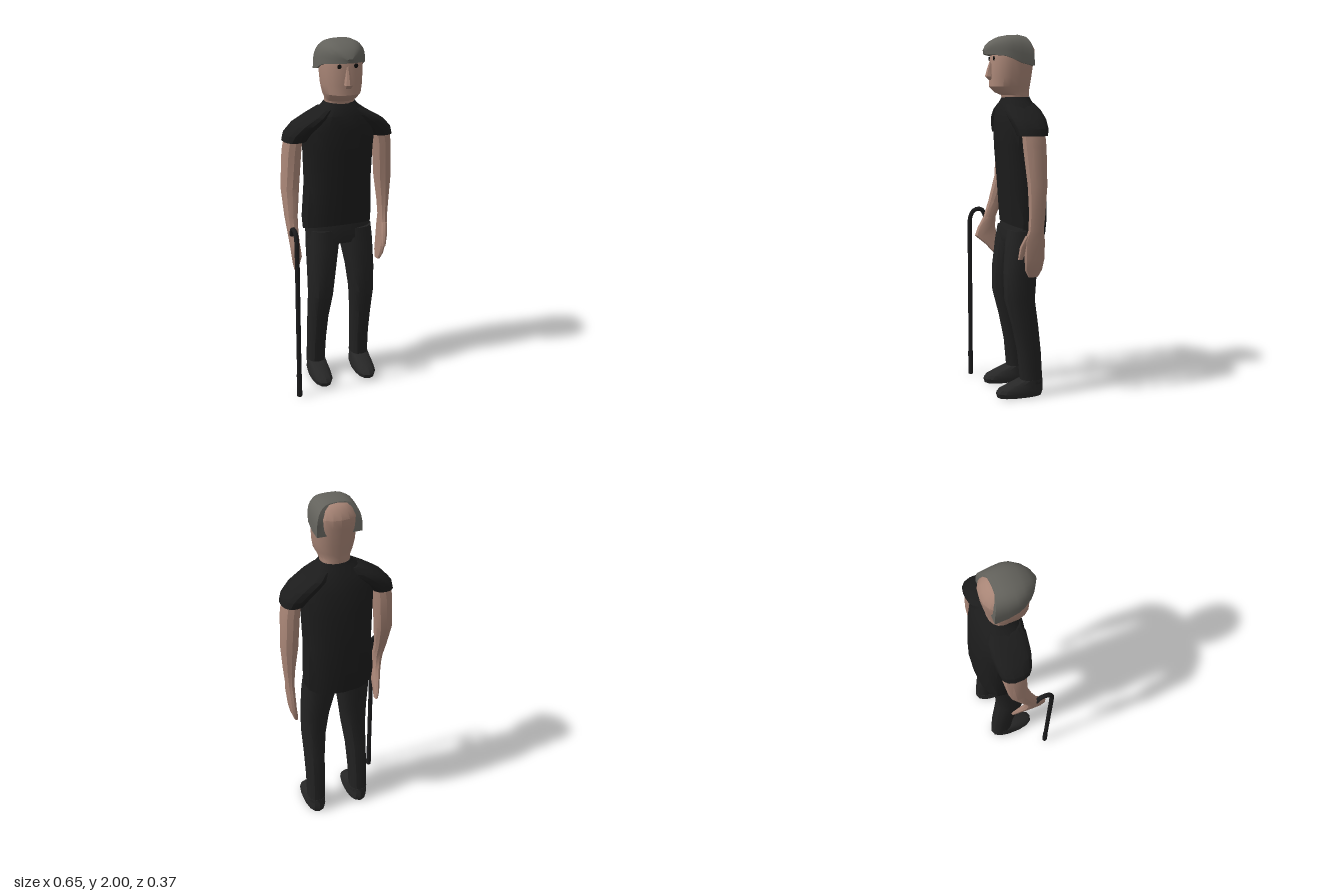
import * as THREE from 'three';
import { toCreasedNormals } from 'three/addons/utils/BufferGeometryUtils.js';

const mat = (name, color) => Object.assign(new THREE.MeshStandardMaterial({ color }), { name });

// Closed skin over a list of point loops, wound so that it faces outwards
function skinLoops(loops) {
  const n = loops[0].length, pos = [], idx = [];
  loops.forEach(l => l.forEach(p => pos.push(...p)));
  for (let i = 0; i < loops.length - 1; i++) {
    for (let j = 0; j < n; j++) {
      const a = i * n + j, b = i * n + (j + 1) % n;
      idx.push(a, a + n, b, b, a + n, b + n);
    }
  }
  [0, loops.length - 1].forEach((r, end) => {
    const c = pos.length / 3;
    pos.push(...[0, 1, 2].map(k => loops[r].reduce((s, p) => s + p[k], 0) / n));
    for (let j = 0; j < n; j++) {
      const a = r * n + j, b = r * n + (j + 1) % n;
      idx.push(...(end ? [c, a, b].reverse() : [c, a, b]));
    }
  });
  // Signed volume decides the winding
  const v = i => new THREE.Vector3().fromArray(pos, i * 3);
  let vol = 0;
  for (let i = 0; i < idx.length; i += 3) vol += v(idx[i]).dot(v(idx[i + 1]).cross(v(idx[i + 2])));
  if (vol < 0) idx.reverse();
  const g = new THREE.BufferGeometry();
  g.setAttribute('position', new THREE.Float32BufferAttribute(pos, 3));
  g.setIndex(idx);
  return toCreasedNormals(g, 0.55);
}

const sgnPow = (v, e) => Math.sign(v) * Math.pow(Math.abs(v), e);

// Horizontal cross-sections: [y, xMin, xMax, zBack, zFront, tilt]
function body(rings, n = 14, p = 2.4) {
  return skinLoops(rings.map(([y, x0, x1, z0, z1, tilt = 0]) =>
    Array.from({ length: n }, (_, j) => {
      const a = j / n * Math.PI * 2;
      const x = (x0 + x1) / 2 + sgnPow(Math.sin(a), 2 / p) * (x1 - x0) / 2;
      const dz = sgnPow(Math.cos(a), 2 / p) * (z1 - z0) / 2;
      return [x, y + dz * tilt, (z0 + z1) / 2 + dz];
    })));
}

// Swap the sides of a list of cross-sections
const mirror = rings => rings.map(([y, a, b, ...r]) => [y, -b, -a, ...r]);

export function createModel() {
  const man = new THREE.Group();
  man.name = 'standingManWithCane';
  const skin = mat('skin', 0xa88576);
  const shirt = mat('shirtBlack', 0x1c1c1c);
  const trousers = mat('trouserBlack', 0x222222);
  const shoe = mat('shoeGrey', 0x272727);
  const cap = mat('capGrey', 0x63625c);
  const caneMat = mat('caneBlack', 0x1b1b1c);
  const eyeMat = mat('eyeBlack', 0x0c0c0c);
  const add = (name, geo, m) => {
    const mesh = new THREE.Mesh(geo, m);
    mesh.name = name;
    man.add(mesh);
    return mesh;
  };

  // Shirt body with a hem that dips at the back
  add('shirtBody', body([
    [0.937, -0.195, 0.2, -0.172, 0.055, 0.3],
    [1.0, -0.2, 0.203, -0.18, 0.06, 0.15],
    [1.2, -0.186, 0.195, -0.18, 0.075],
    [1.4, -0.195, 0.2, -0.17, 0.09],
    [1.52, -0.205, 0.21, -0.15, 0.09],
    [1.6, -0.16, 0.168, -0.125, 0.085],
    [1.645, -0.095, 0.105, -0.1, 0.065],
    [1.665, -0.08, 0.09, -0.09, 0.055],
  ], 16), shirt);

  // Sleeves
  const sleeve = [
    [1.462, 0.185, 0.313, -0.12, 0.045],
    [1.5, 0.15, 0.304, -0.128, 0.055],
    [1.55, 0.09, 0.258, -0.132, 0.07],
    [1.595, 0.05, 0.18, -0.125, 0.075],
    [1.63, 0.04, 0.115, -0.1, 0.06],
  ];
  add('leftSleeve', body(sleeve), shirt);
  add('rightSleeve', body(mirror(sleeve)), shirt);

  // Left arm hanging straight, with hand and thumb
  add('leftArm', body([
    [1.5, 0.2, 0.3, -0.105, 0.025],
    [1.4, 0.215, 0.315, -0.11, 0.02],
    [1.2, 0.232, 0.325, -0.11, -0.002],
    [1.05, 0.252, 0.314, -0.1, -0.008],
    [0.96, 0.258, 0.304, -0.092, -0.005],
    [0.9, 0.255, 0.3, -0.1, 0.015],
    [0.8, 0.25, 0.29, -0.1, 0.012],
    [0.74, 0.243, 0.277, -0.09, 0.006],
    [0.7, 0.24, 0.262, -0.07, -0.015],
  ], 10), skin);
  add('leftThumb', body([
    [0.93, 0.26, 0.295, -0.04, 0.01],
    [0.87, 0.25, 0.285, -0.01, 0.038],
    [0.8, 0.247, 0.27, 0.02, 0.046],
  ], 8), skin);

  // Right arm reaching forward to the cane, fingers folded back and down
  add('rightArm', body([
    [1.5, -0.295, -0.2, -0.105, 0.025],
    [1.4, -0.312, -0.21, -0.11, 0.02],
    [1.2, -0.328, -0.23, -0.085, 0.025],
    [1.05, -0.325, -0.255, -0.02, 0.06],
    [0.96, -0.318, -0.262, 0.015, 0.09],
    [0.9, -0.312, -0.262, 0.02, 0.125],
    [0.85, -0.305, -0.258, 0.01, 0.145],
    [0.8, -0.29, -0.25, -0.015, 0.085],
    [0.74, -0.272, -0.245, -0.045, 0.03],
    [0.7, -0.26, -0.24, -0.05, -0.01],
  ], 10), skin);

  // Trousers: hips and two legs
  add('trouserHips', body([
    [0.86, -0.15, 0.16, -0.11, 0.055],
    [0.89, -0.188, 0.198, -0.135, 0.062],
    [0.98, -0.19, 0.195, -0.16, 0.05],
  ], 16), trousers);
  const leg = [
    [0.07, 0.085, 0.188, -0.132, -0.005],
    [0.25, 0.079, 0.188, -0.122, 0.012],
    [0.4, 0.072, 0.19, -0.107, 0.043],
    [0.55, 0.055, 0.193, -0.088, 0.083],
    [0.7, 0.035, 0.195, -0.1, 0.085],
    [0.85, 0.008, 0.194, -0.13, 0.07],
    [0.94, 0.005, 0.188, -0.14, 0.055],
  ];
  const shoeRings = [
    [0, 0.08, 0.19, -0.128, 0.13],
    [0.025, 0.073, 0.197, -0.136, 0.138],
    [0.045, 0.076, 0.195, -0.136, 0.122],
    [0.07, 0.081, 0.191, -0.135, 0.065],
    [0.095, 0.083, 0.189, -0.132, 0.0],
  ];
  for (const side of ['left', 'right']) {
    const place = r => side === 'left' ? r : mirror(r);
    for (const [name, rings, m] of [['TrouserLeg', leg, trousers], ['Shoe', shoeRings, shoe]]) {
      add(side + name, body(place(rings)), m).position.x = 0.008;
    }
  }

  // Head and neck
  add('headAndNeck', body([
    [1.62, -0.075, 0.085, -0.08, 0.045],
    [1.675, -0.078, 0.085, -0.09, 0.062],
    [1.69, -0.082, 0.088, -0.09, 0.1],
    [1.72, -0.098, 0.103, -0.094, 0.13],
    [1.77, -0.108, 0.113, -0.102, 0.128],
    [1.87, -0.115, 0.12, -0.116, 0.124],
    [1.92, -0.113, 0.118, -0.12, 0.11],
    [1.96, -0.092, 0.096, -0.1, 0.08],
    [1.983, -0.065, 0.069, -0.075, 0.045],
    [1.993, -0.025, 0.029, -0.04, 0.015],
  ], 18, 2.2), skin);
  add('nose', body([
    [1.755, -0.016, 0.022, 0.1, 0.132],
    [1.775, -0.021, 0.027, 0.1, 0.156],
    [1.82, -0.013, 0.019, 0.1, 0.143],
    [1.87, -0.008, 0.014, 0.1, 0.125],
  ], 8), skin);
  for (const s of [-1, 1]) {
    const eye = add(s > 0 ? 'leftEye' : 'rightEye', new THREE.SphereGeometry(0.012, 10, 8), eyeMat);
    eye.scale.z = 0.4;
    eye.position.set(0.003 + s * 0.046, 1.871, 0.118);
  }

  // Cap: arched slices from peak to back, [z, half width, top, bottom, sweep of the sides]
  const slices = [
    [0.166, 0.02, 1.915, 1.893, -0.006],
    [0.152, 0.062, 1.94, 1.89, -0.018],
    [0.125, 0.092, 1.966, 1.887, -0.02],
    [0.08, 0.116, 1.988, 1.882, -0.015],
    [0.03, 0.125, 1.998, 1.868, 0],
    [-0.02, 0.125, 2.0, 1.845, 0],
    [-0.055, 0.122, 1.992, 1.832, -0.035],
  ];
  const steps = 16;
  add('cap', skinLoops(slices.map(([z, w, top, low, sweep]) =>
    Array.from({ length: steps + 1 }, (_, j) => {
      const a = j / steps * Math.PI, c = Math.cos(a);
      return [0.003 + sgnPow(c, 2 / 3) * w, low + sgnPow(Math.sin(a), 2 / 3) * (top - low), z + sweep * c * c];
    }))), cap);

  // Cane with hooked handle
  const path = new THREE.CatmullRomCurve3([
    [0.014, 0.17], [0.3, 0.17], [0.6, 0.17], [0.88, 0.17], [0.95, 0.168],
    [0.992, 0.15], [1.006, 0.12], [0.996, 0.092], [0.965, 0.078],
  ].map(([y, z]) => new THREE.Vector3(-0.305, y, z)));
  add('caneShaft', new THREE.TubeGeometry(path, 60, 0.013, 10), caneMat);
  add('caneHandleEnd', new THREE.SphereGeometry(0.013, 10, 8), caneMat).position.copy(path.getPoint(1));
  add('caneFoot', new THREE.CylinderGeometry(0.015, 0.015, 0.14, 10), caneMat).position.set(-0.305, 0.07, 0.17);

  return man;
}
